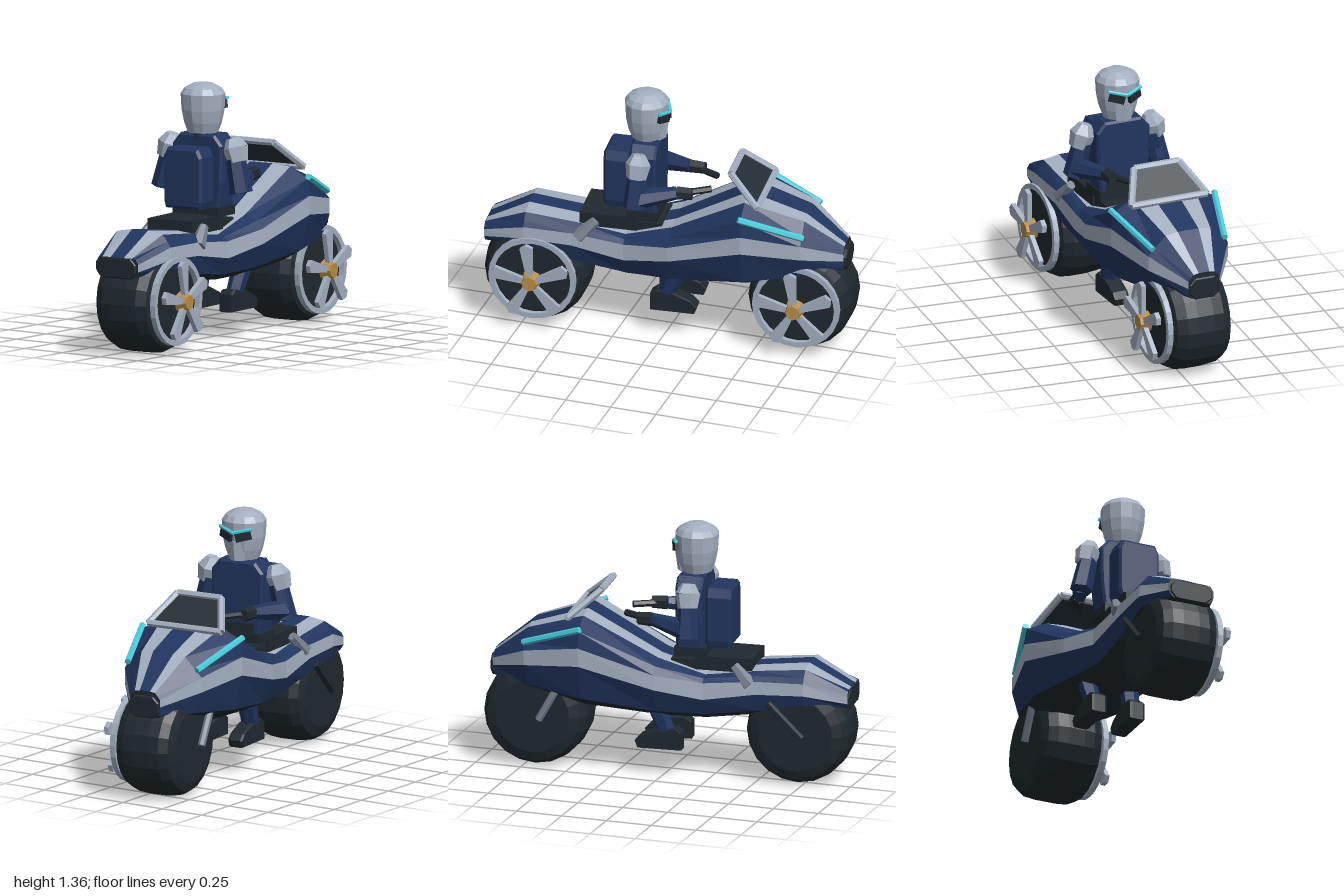
import * as THREE from 'three';

const mat = (name, color, extra = {}) =>
  Object.assign(new THREE.MeshStandardMaterial({ color, flatShading: true, ...extra }), { name });

export function createModel() {
  const navy = mat('navy', 0x21355f), light = mat('silver', 0xa3afc0), dark = mat('charcoal', 0x20292f),
    cyan = mat('cyan', 0x48cbdb), gold = mat('brass', 0xb98d48), steel = mat('steel', 0x78828f),
    glass = mat('smoked glass', 0x232f35, { side: THREE.DoubleSide });
  const root = new THREE.Group(), bike = new THREE.Group();
  bike.name = 'motorcycle';
  bike.rotation.y = 0.1; // the machine stands slightly turned
  root.add(bike);

  const V = (x, y, z) => new THREE.Vector3(x, y, z);
  const add = (name, geo, m, parent = bike) => {
    const mesh = new THREE.Mesh(geo, m);
    mesh.name = name;
    parent.add(mesh);
    return mesh;
  };
  const box = (name, m, w, h, d, x, y, z) => {
    const b = add(name, new THREE.BoxGeometry(w, h, d), m);
    b.position.set(x, y, z);
    return b;
  };
  // Tapered rod from a (radius r0) to b (radius r1)
  const rod = (name, m, a, b, r0, r1 = r0, sides = 6) => {
    const dir = b.clone().sub(a);
    const mesh = add(name, new THREE.CylinderGeometry(r1, r0, dir.length(), sides), m);
    mesh.position.copy(a).add(b).multiplyScalar(0.5);
    mesh.quaternion.setFromUnitVectors(V(0, 1, 0), dir.normalize());
    return mesh;
  };

  // Outline with bevelled corners, extruded along z
  const slab = (name, m, pts, depth, bevel, z) => {
    const g = new THREE.ExtrudeGeometry(new THREE.Shape(pts.map(p => new THREE.Vector2(...p))),
      { depth, bevelEnabled: true, bevelSize: bevel, bevelThickness: bevel, bevelSegments: 1 });
    const mesh = add(name, g, m);
    mesh.position.z = z;
    return mesh;
  };

  // Striped body shell: z, then half cross-section as x, y from top centre to belly
  const stations = [
    [0.985, 0.04, 0.53, 0.09, 0.53, 0.115, 0.525, 0.13, 0.50, 0.13, 0.46, 0.11, 0.43, 0.08, 0.42],
    [0.76, 0.05, 0.65, 0.14, 0.635, 0.17, 0.60, 0.19, 0.57, 0.195, 0.505, 0.18, 0.45, 0.12, 0.43],
    [0.50, 0.05, 0.62, 0.14, 0.61, 0.17, 0.59, 0.19, 0.565, 0.195, 0.495, 0.17, 0.40, 0.12, 0.37],
    [0.22, 0.055, 0.575, 0.14, 0.57, 0.18, 0.56, 0.205, 0.54, 0.21, 0.45, 0.17, 0.36, 0.12, 0.33],
    [-0.03, 0.06, 0.65, 0.15, 0.645, 0.225, 0.62, 0.262, 0.58, 0.265, 0.50, 0.21, 0.37, 0.13, 0.33],
    [-0.43, 0.07, 0.865, 0.18, 0.855, 0.29, 0.80, 0.302, 0.71, 0.302, 0.61, 0.25, 0.42, 0.14, 0.36],
    [-0.74, 0.06, 0.765, 0.13, 0.755, 0.195, 0.69, 0.23, 0.655, 0.23, 0.575, 0.19, 0.46, 0.11, 0.42],
    [-0.94, 0.03, 0.60, 0.06, 0.595, 0.075, 0.58, 0.09, 0.56, 0.09, 0.52, 0.085, 0.475, 0.06, 0.46],
  ];
  const rings = stations.map(([z, ...c]) => {
    const half = [];
    for (let i = 0; i < c.length; i += 2) half.push(V(c[i], c[i + 1], z));
    return [...half.map(p => V(-p.x, p.y, p.z)).reverse(), ...half];
  });
  const sideMats = [light, navy, navy, light, navy, dark];
  const segMats = [...[...sideMats].reverse(), navy, ...sideMats, dark];
  const faces = new Map([[navy, []], [light, []], [dark, []]]);
  const tri = (m, ...pts) => pts.forEach(p => faces.get(m).push(...p.toArray()));
  for (let i = 0; i + 1 < rings.length; i++) {
    const r = rings[i], s = rings[i + 1];
    segMats.forEach((m, j) => {
      const k = (j + 1) % r.length;
      tri(m, r[j], r[k], s[k]);
      tri(m, r[j], s[k], s[j]);
    });
  }
  const tail = rings[0], nose = rings[rings.length - 1];
  for (let j = 1; j + 1 < tail.length; j++) {
    tri(dark, tail[0], tail[j + 1], tail[j]);
    tri(dark, nose[0], nose[j], nose[j + 1]);
  }
  for (const [m, list] of faces) {
    const g = new THREE.BufferGeometry();
    g.setAttribute('position', new THREE.Float32BufferAttribute(list, 3));
    g.computeVertexNormals();
    add('body ' + m.name + ' panels', g, m);
  }
  const cap = (w, y0, y1) => [[-w, y0 + 0.03], [-w + 0.03, y0], [w - 0.03, y0], [w, y0 + 0.03],
    [w, y1 - 0.03], [w - 0.03, y1], [-w + 0.03, y1], [-w, y1 - 0.03]];
  slab('tailCap', dark, cap(0.112, 0.425, 0.522), 0.02, 0.006, 0.965);
  slab('noseCap', dark, cap(0.082, 0.465, 0.57), 0.02, 0.006, -0.95);

  // Wheels: wide tyre, with rim, spokes and hub on the +x side
  const tyreProfile = [[0, -0.165], [0.2, -0.165], [0.25, -0.145], [0.276, -0.1], [0.282, -0.04], [0.282, 0.05],
    [0.276, 0.11], [0.25, 0.16], [0.2, 0.18], [0, 0.18]].map(p => new THREE.Vector2(...p));
  const ringShape = new THREE.Shape().absarc(0, 0, 0.235, 0, Math.PI * 2);
  ringShape.holes.push(new THREE.Path().absarc(0, 0, 0.207, 0, Math.PI * 2));
  const spokeShape = new THREE.Shape([[0.04, -0.016], [0.2, -0.034], [0.218, 0], [0.2, 0.034], [0.04, 0.016]]
    .map(p => new THREE.Vector2(...p)));
  for (const [label, z, strutMat] of [['rear', 0.71, dark], ['front', -0.71, steel]]) {
    const wheel = new THREE.Group();
    wheel.name = label + 'Wheel';
    wheel.position.set(0, 0.28, z);
    wheel.rotation.y = Math.PI / 2; // local +z becomes the outer side
    bike.add(wheel);
    add('tyre', new THREE.LatheGeometry(tyreProfile, 20), dark, wheel).rotation.x = Math.PI / 2;
    add('rim', new THREE.ExtrudeGeometry(ringShape, { depth: 0.03, bevelEnabled: false, curveSegments: 12 }),
      light, wheel).position.z = 0.178;
    for (let k = 0; k < 5; k++) {
      const spoke = add('spoke', new THREE.ExtrudeGeometry(spokeShape, { depth: 0.026, bevelEnabled: false }), light, wheel);
      spoke.position.z = 0.235;
      spoke.rotation.z = (96 + 72 * k) * Math.PI / 180;
    }
    const hub = add('hub', new THREE.CylinderGeometry(0.04, 0.056, 0.06, 8), gold, wheel);
    hub.rotation.x = Math.PI / 2;
    hub.position.z = 0.247;
    // Swing arm on the other side
    rod(label + 'Strut', strutMat, V(-0.19, 0.27, z + 0.04), V(-0.19, 0.45, z + (z < 0 ? 0.14 : -0.14)), 0.02);
  }

  // Windscreen: framed trapezoid leaning back
  const screen = [V(-0.218, 0.85, -0.505), V(0.218, 0.85, -0.505), V(0.13, 0.99, -0.345), V(-0.13, 0.99, -0.345)];
  screen.forEach((p, i) => rod('screenFrame', light, p, screen[(i + 1) % 4], 0.019));
  const pane = new THREE.BufferGeometry().setFromPoints([0, 1, 2, 0, 2, 3].map(i => screen[i]));
  pane.computeVertexNormals();
  add('screenGlass', pane, glass);

  // Seat and belt
  box('seat', dark, 0.27, 0.075, 0.31, 0, 0.63, 0.315);
  box('seatFront', dark, 0.24, 0.1, 0.14, 0, 0.59, 0.1);
  box('belt', dark, 0.28, 0.05, 0.17, 0, 0.685, 0.135);
  box('buckle', dark, 0.2, 0.09, 0.05, 0, 0.715, 0.08);

  // Rider torso, backpack and neck
  const torso = [[-0.12, 0.7], [0.12, 0.7], [0.138, 0.85], [0.142, 1.03], [0.1, 1.08], [-0.1, 1.08],
    [-0.142, 1.03], [-0.138, 0.85]];
  slab('torso', navy, torso, 0.12, 0.012, 0.07);
  slab('backpack', navy, [[-0.095, 0.725], [0.095, 0.725], [0.103, 0.75], [0.103, 0.98], [0.085, 1.018],
    [-0.085, 1.018], [-0.103, 0.98], [-0.103, 0.75]], 0.11, 0.014, 0.225);
  rod('neck', dark, V(0, 1.06, 0.14), V(0, 1.12, 0.14), 0.065, 0.065, 8);

  // Helmet with jaw and visor
  const helmet = add('helmet', new THREE.LatheGeometry([[0, 1.09], [0.08, 1.095], [0.1, 1.15], [0.113, 1.215],
    [0.118, 1.3], [0.098, 1.33], [0.055, 1.353], [0, 1.36]].map(p => new THREE.Vector2(...p)), 12), light);
  helmet.position.z = 0.14;
  rod('jaw', light, V(0, 1.095, 0.085), V(0, 1.2, 0.085), 0.05, 0.065);

  for (const s of [-1, 1]) {
    const side = s > 0 ? 'left' : 'right';
    rod(side + 'Brow', cyan, V(0, 1.25, 0.012), V(s * 0.095, 1.272, 0.05), 0.01);
    const eye = box(side + 'Visor', dark, 0.085, 0.045, 0.02, s * 0.05, 1.232, 0.036);
    eye.rotation.set(0, -s * 0.42, s * 0.25);

    // Arms reaching to the grips
    const shoulder = V(s * 0.19, 1.03, 0.14), elbow = V(s * 0.235, 0.835, 0.14), hand = V(s * 0.155, 0.855, -0.06);
    rod(side + 'ShoulderTop', light, V(s * 0.2, 1.025, 0.14), V(s * 0.185, 1.075, 0.14), 0.068, 0.035);
    rod(side + 'Shoulder', light, V(s * 0.222, 0.95, 0.145), V(s * 0.2, 1.025, 0.14), 0.053, 0.068);
    rod(side + 'UpperArm', navy, V(s * 0.245, 0.79, 0.15), shoulder, 0.06, 0.048);
    rod(side + 'Forearm', navy, elbow, hand, 0.058, 0.034);
    rod(side + 'Glove', dark, hand, V(s * 0.15, 0.855, -0.14), 0.038, 0.034);
    rod(side + 'Grip', dark, V(s * 0.155, 0.855, -0.08), V(s * 0.075, 0.858, -0.225), 0.018);

    // Legs and boots
    rod(side + 'Thigh', navy, V(s * 0.08, 0.58, 0.1), V(s * 0.13, 0.46, -0.09), 0.06, 0.055);
    rod(side + 'Shin', navy, V(s * 0.11, 0.22, 0.01), V(s * 0.13, 0.46, -0.08), 0.045, 0.055);
    const boot = new THREE.Shape([[0.085, 0.145], [-0.145, 0.145], [-0.158, 0.18], [-0.13, 0.21], [-0.03, 0.25],
      [0.06, 0.255], [0.085, 0.235]].map(([z, y]) => new THREE.Vector2(-z, y)));
    const b = add(side + 'Boot', new THREE.ExtrudeGeometry(boot,
      { depth: 0.06, bevelEnabled: true, bevelSize: 0.004, bevelThickness: 0.012, bevelSegments: 1 }), dark);
    b.rotation.y = Math.PI / 2;
    b.position.x = s * 0.11 - 0.03;

    // Rear brackets and light strips
    rod(side + 'Bracket', steel, V(s * 0.175, 0.54, 0.47), V(s * 0.155, 0.635, 0.38), 0.042, 0.026);
    rod(side + 'LightStrip', cyan, V(s * 0.3, 0.812, -0.42), V(s * 0.207, 0.693, -0.75), 0.018);
  }
  return root;
}
